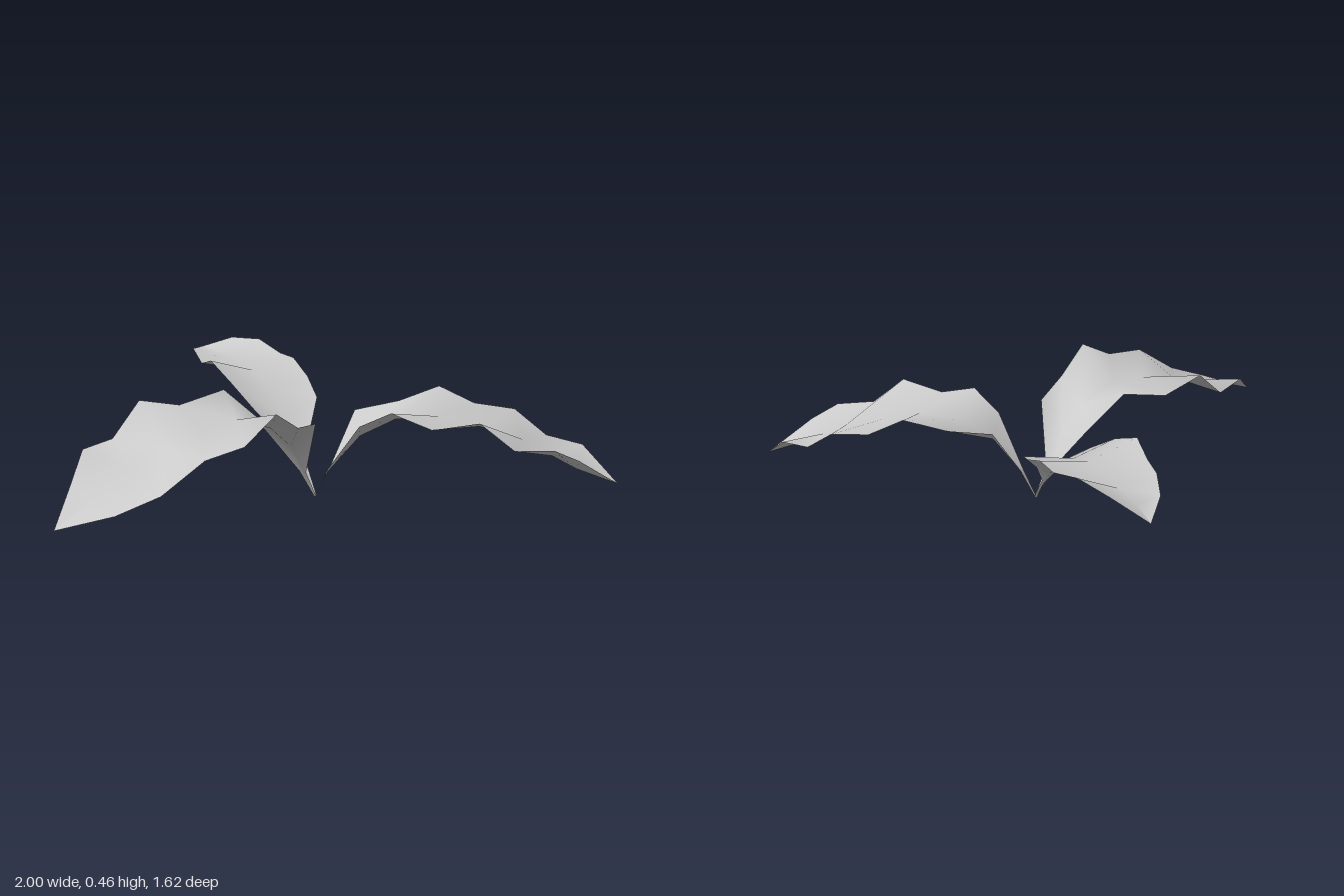
import * as THREE from 'three';

// Each leaf is a folded strip on three rails: left edge, midrib, right edge,
// running from the narrow stem base out to the tip. Points are [x, y, z].
const BASE = [0.115, 0, 0.16];

const leaves = {
  backLeaf: {
    tip: [0.135, 0.375, -0.815],
    left: [[0.106, 0.115, 0.08], [0.03, 0.225, 0.015], [-0.01, 0.29, -0.07], [-0.045, 0.375, -0.2],
      [-0.06, 0.435, -0.34], [-0.045, 0.4, -0.45], [-0.01, 0.415, -0.58], [0.04, 0.4, -0.7]],
    mid: [[0.115, 0.1, 0.08], [0.115, 0.17, 0.02], [0.115, 0.25, -0.06], [0.12, 0.33, -0.2],
      [0.12, 0.378, -0.33], [0.125, 0.39, -0.45], [0.13, 0.39, -0.58], [0.13, 0.39, -0.7]],
    right: [[0.122, 0.115, 0.08], [0.165, 0.2, 0.03], [0.26, 0.31, -0.07], [0.295, 0.36, -0.2],
      [0.3, 0.41, -0.32], [0.295, 0.41, -0.42], [0.27, 0.445, -0.55], [0.22, 0.43, -0.695]],
  },
  leftLeaf: {
    tip: [1, 0.095, 0.805],
    left: [[0.165, 0.11, 0.18], [0.29, 0.31, 0.15], [0.455, 0.335, 0.2], [0.6, 0.385, 0.25],
      [0.715, 0.32, 0.32], [0.83, 0.305, 0.415], [0.9, 0.22, 0.52], [0.97, 0.205, 0.64]],
    mid: [[0.155, 0.1, 0.185], [0.25, 0.24, 0.25], [0.35, 0.31, 0.33], [0.48, 0.325, 0.42],
      [0.6, 0.29, 0.5], [0.72, 0.25, 0.6], [0.8, 0.195, 0.67], [0.87, 0.15, 0.725]],
    right: [[0.15, 0.11, 0.19], [0.19, 0.305, 0.335], [0.245, 0.375, 0.45], [0.34, 0.33, 0.565],
      [0.46, 0.365, 0.675], [0.57, 0.265, 0.735], [0.705, 0.26, 0.785], [0.81, 0.21, 0.8]],
  },
  rightLeaf: {
    tip: [-1, 0.16, 0.425],
    left: [[0.06, 0.11, 0.185], [0.02, 0.335, 0.315], [-0.12, 0.37, 0.43], [-0.25, 0.455, 0.51],
      [-0.39, 0.375, 0.55], [-0.545, 0.36, 0.575], [-0.69, 0.26, 0.555], [-0.835, 0.21, 0.525]],
    mid: [[0.06, 0.1, 0.175], [-0.02, 0.23, 0.21], [-0.12, 0.32, 0.24], [-0.27, 0.38, 0.27],
      [-0.41, 0.365, 0.29], [-0.56, 0.33, 0.31], [-0.7, 0.285, 0.335], [-0.83, 0.235, 0.375]],
    right: [[0.05, 0.11, 0.155], [-0.075, 0.29, 0.08], [-0.2, 0.425, 0.04], [-0.375, 0.39, 0.035],
      [-0.54, 0.435, 0.06], [-0.66, 0.325, 0.1], [-0.8, 0.33, 0.18], [-0.89, 0.25, 0.29]],
  },
};

// Skin the three rails with quads, one row of three points per station
function leafGeometry({ left, mid, right, tip }) {
  // narrow stem foot, set across the stem's direction
  const [dx, , dz] = tip.map((v, i) => v - BASE[i]);
  const w = 0.007 / Math.hypot(dx, dz);
  const foot = (s) => [BASE[0] + s * dz * w, 0.004, BASE[2] - s * dx * w];
  const rows = [
    [foot(1), BASE, foot(-1)],
    ...mid.map((m, i) => [left[i], m, right[i]]),
    [tip, tip, tip],
  ];
  const index = [];
  for (let r = 0; r < rows.length - 1; r++) {
    for (let c = 0; c < 2; c++) {
      const a = r * 3 + c, b = a + 1, d = a + 3, e = a + 4;
      index.push(a, b, d);
      if (r < rows.length - 2) index.push(b, e, d);
    }
  }
  const geometry = new THREE.BufferGeometry();
  geometry.setAttribute('position', new THREE.Float32BufferAttribute(rows.flat(2), 3));
  geometry.setIndex(index);
  geometry.computeVertexNormals();
  return geometry;
}

export function createModel() {
  const group = new THREE.Group();
  group.name = 'threeLeafSprig';
  const material = new THREE.MeshStandardMaterial({ color: 0xcccccc, side: THREE.DoubleSide });
  for (const [name, rails] of Object.entries(leaves)) {
    const leaf = new THREE.Mesh(leafGeometry(rails), material);
    leaf.name = name;
    group.add(leaf);
  }
  return group;
}
